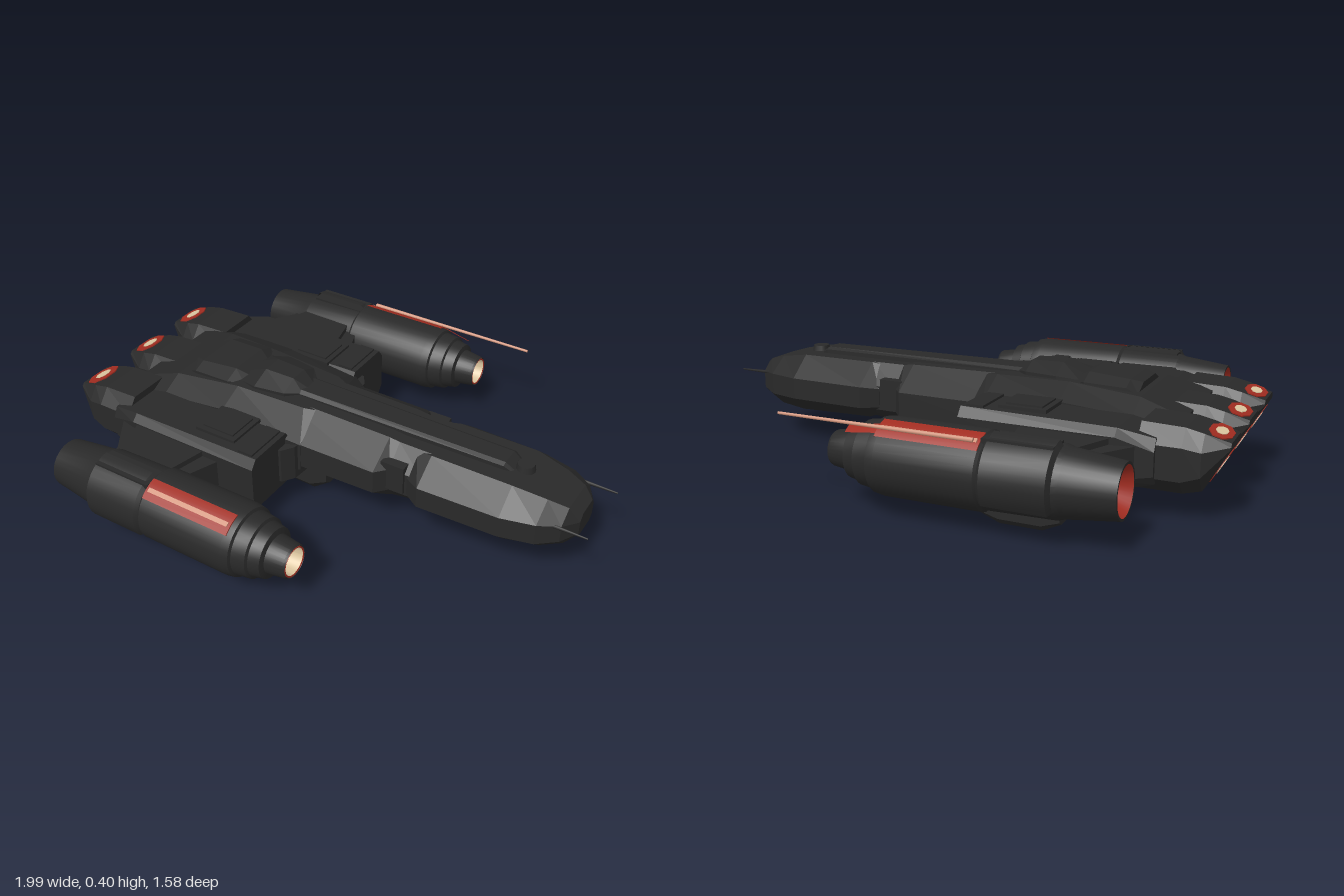
import * as THREE from 'three';
import { toCreasedNormals } from 'three/addons/utils/BufferGeometryUtils.js';

const mat = (name, color, side = THREE.DoubleSide) => {
  const m = new THREE.MeshStandardMaterial({ color, side });
  m.name = name;
  return m;
};

export function createModel() {
  const model = new THREE.Group();
  model.name = 'spaceship';
  const dark = mat('charcoal hull', 0x292929);
  const red = mat('engine red', 0xa02c20);
  const cream = mat('warm cream', 0xdcc6a0);
  const salmon = mat('salmon', 0xd0937a);

  const add = (parent, name, geo, material, x = 0, y = 0, z = 0) => {
    const m = new THREE.Mesh(geo, material);
    m.name = name;
    m.position.set(x, y, z);
    parent.add(m);
    return m;
  };
  const box = (parent, name, x0, x1, y0, y1, z0, z1) =>
    add(parent, name, new THREE.BoxGeometry(x1 - x0, y1 - y0, Math.abs(z1 - z0)), dark,
      (x0 + x1) / 2, (y0 + y1) / 2, (z0 + z1) / 2);

  // Eight-sided hull along x; section: [x, bottom, low, high, top, bottomHalf, half, topHalf]
  const hull = (parent, name, sections, z = 0) => {
    const rings = sections.map(([x, yb, yl, yh, yt, wb, w, wt]) => [
      [x, yt, -wt], [x, yt, wt], [x, yh, w], [x, yl, w],
      [x, yb, wb], [x, yb, -wb], [x, yl, -w], [x, yh, -w]]);
    const pos = [];
    const tri = (...p) => p.forEach((v) => pos.push(...v));
    for (let i = 0; i < rings.length - 1; i++) {
      for (let j = 0; j < 8; j++) {
        const k = (j + 1) % 8, a = rings[i], b = rings[i + 1];
        tri(a[j], a[k], b[k]);
        tri(a[j], b[k], b[j]);
      }
    }
    const first = rings[0], last = rings[rings.length - 1];
    for (let j = 1; j < 7; j++) {
      tri(first[0], first[j + 1], first[j]);
      tri(last[0], last[j], last[j + 1]);
    }
    const g = new THREE.BufferGeometry();
    g.setAttribute('position', new THREE.Float32BufferAttribute(pos, 3));
    g.computeVertexNormals();
    return add(parent, name, g, dark, 0, 0, z);
  };

  // Flat slab from a plan outline in x and z
  const slab = (parent, name, plan, y0, y1, s = 1) => {
    const shape = new THREE.Shape(plan.map(([x, z]) => new THREE.Vector2(x, z * s)));
    const g = new THREE.ExtrudeGeometry(shape, { depth: y1 - y0, bevelEnabled: false });
    return add(parent, name, g.rotateX(Math.PI / 2), dark, 0, y1, 0);
  };
  // Turned part along x from [x, radius] points, optionally only an arc of it
  const lathe = (parent, name, profile, material, start = 0, length = Math.PI * 2) => {
    const seg = Math.ceil((32 * length) / (Math.PI * 2));
    const g = new THREE.LatheGeometry(profile.map(([x, r]) => new THREE.Vector2(r, x)), seg, start, length);
    return add(parent, name, toCreasedNormals(g.rotateZ(-Math.PI / 2), 0.35), material);
  };

  // Fuselage: neck, notch and head
  hull(model, 'neck', [
    [-0.25, 0.12, 0.17, 0.27, 0.355, 0.15, 0.22, 0.1],
    [0.23, 0.13, 0.18, 0.27, 0.35, 0.15, 0.215, 0.1],
    [0.27, 0.13, 0.18, 0.27, 0.345, 0.13, 0.17, 0.1],
    [0.4, 0.15, 0.18, 0.27, 0.345, 0.13, 0.165, 0.1]]);
  hull(model, 'head', [
    [0.34, 0.16, 0.19, 0.26, 0.335, 0.13, 0.17, 0.1],
    [0.4, 0.14, 0.19, 0.27, 0.345, 0.14, 0.21, 0.11],
    [0.7, 0.135, 0.19, 0.27, 0.345, 0.14, 0.2, 0.11],
    [0.82, 0.14, 0.19, 0.27, 0.325, 0.11, 0.17, 0.09],
    [0.89, 0.16, 0.2, 0.265, 0.305, 0.08, 0.125, 0.07],
    [0.93, 0.19, 0.205, 0.255, 0.28, 0.04, 0.06, 0.04]]);
  hull(model, 'spine', [
    [-0.2, 0.33, 0.34, 0.36, 0.37, 0.06, 0.06, 0.045],
    [0.64, 0.33, 0.34, 0.36, 0.368, 0.05, 0.05, 0.035],
    [0.68, 0.32, 0.33, 0.335, 0.34, 0.04, 0.04, 0.03]]);
  hull(model, 'neckKeel', [
    [-0.1, 0.115, 0.125, 0.15, 0.16, 0.09, 0.12, 0.12],
    [0.32, 0.12, 0.13, 0.15, 0.16, 0.09, 0.12, 0.12],
    [0.38, 0.145, 0.15, 0.155, 0.16, 0.07, 0.1, 0.1]]);
  add(model, 'headHatch', new THREE.CylinderGeometry(0.03, 0.035, 0.025, 12), dark, 0.7, 0.352, 0);

  // Central rear body, dorsal humps and belly pod
  hull(model, 'centralBody', [
    [-0.82, 0.11, 0.15, 0.25, 0.3, 0.2, 0.3, 0.2],
    [-0.66, 0.1, 0.14, 0.3, 0.345, 0.2, 0.26, 0.17],
    [-0.4, 0.1, 0.14, 0.315, 0.362, 0.2, 0.24, 0.14],
    [-0.12, 0.11, 0.15, 0.29, 0.355, 0.16, 0.24, 0.12],
    [-0.07, 0.13, 0.16, 0.27, 0.35, 0.14, 0.22, 0.1]]);
  hull(model, 'rearHump', [
    [-0.64, 0.3, 0.31, 0.34, 0.37, 0.14, 0.13, 0.07],
    [-0.6, 0.3, 0.31, 0.36, 0.38, 0.15, 0.14, 0.09],
    [-0.45, 0.3, 0.31, 0.365, 0.39, 0.15, 0.14, 0.08],
    [-0.4, 0.3, 0.31, 0.35, 0.365, 0.1, 0.1, 0.06]]);
  hull(model, 'dorsalHump', [
    [-0.42, 0.34, 0.345, 0.36, 0.37, 0.1, 0.1, 0.04],
    [-0.34, 0.34, 0.345, 0.37, 0.403, 0.12, 0.12, 0.04],
    [-0.22, 0.34, 0.345, 0.37, 0.4, 0.1, 0.1, 0.035],
    [-0.17, 0.34, 0.345, 0.36, 0.37, 0.05, 0.05, 0.02]]);
  hull(model, 'bellyPod', [
    [-0.58, 0.07, 0.09, 0.12, 0.15, 0.08, 0.1, 0.1],
    [-0.46, 0.015, 0.05, 0.11, 0.15, 0.12, 0.15, 0.14],
    [-0.08, 0.005, 0.04, 0.11, 0.15, 0.12, 0.15, 0.14],
    [-0.02, 0.04, 0.06, 0.11, 0.15, 0.1, 0.13, 0.12]]);

  // Three tail engines, with glowing plates on the top and rear faces
  const glow = (parent, name, x, y, rot, along, across, upright) => {
    [[red, 1, 0], [cream, 0.5, 0.002]].forEach(([m, k, lift]) => {
      const g = new THREE.CylinderGeometry(1, 1, 0.005, 8).rotateY(Math.PI / 8);
      g.scale(along * k, 1, across * k);
      if (upright) g.rotateZ(Math.PI / 2);
      const p = add(parent, m === red ? name + 'Rim' : name + 'Core', g, m, x, y, 0);
      p.rotation.z = rot;
      p.translateOnAxis(upright ? new THREE.Vector3(-1, 0, 0) : new THREE.Vector3(0, 1, 0), lift);
    });
  };
  for (const z of [-0.275, 0, 0.275]) {
    const engine = new THREE.Group();
    engine.name = 'tailEngine';
    engine.position.z = z;
    model.add(engine);
    hull(engine, 'engineHousing', [
      [-1, 0.255, 0.26, 0.267, 0.278, 0.06, 0.075, 0.065],
      [-0.92, 0.115, 0.17, 0.25, 0.302, 0.075, 0.118, 0.08],
      [-0.86, 0.1, 0.15, 0.26, 0.315, 0.08, 0.125, 0.08],
      [-0.72, 0.1, 0.15, 0.26, 0.32, 0.08, 0.125, 0.08]]);
    glow(engine, 'topVent', -0.955, 0.293, 0.29, 0.041, 0.073, false);
    glow(engine, 'rearNozzle', -0.961, 0.187, 0.519, 0.068, 0.068, true);
  }

  for (const s of [1, -1]) {
    // Shoulder block beside the body, with raised panels
    hull(model, 'shoulder', [
      [-0.78, 0.13, 0.16, 0.24, 0.28, 0.07, 0.09, 0.07],
      [-0.66, 0.1, 0.14, 0.28, 0.305, 0.085, 0.115, 0.09],
      [-0.12, 0.1, 0.14, 0.28, 0.313, 0.085, 0.115, 0.09]], s * 0.325);
    box(model, 'shoulderPanel', -0.41, -0.24, 0.3, 0.321, s * 0.22, s * 0.38);
    box(model, 'panelLid', -0.39, -0.26, 0.31, 0.327, s * 0.24, s * 0.36);
    box(model, 'shoulderRib', -0.2, -0.14, 0.3, 0.32, s * 0.24, s * 0.41);
    box(model, 'shoulderUnderside', -0.6, -0.2, 0.09, 0.12, s * 0.2, s * 0.38);
    slab(model, 'shoulderStep', [[-0.15, 0.1], [-0.07, 0.1], [-0.08, 0.24], [-0.11, 0.285], [-0.15, 0.285]], 0.13, 0.27, s);
    box(model, 'neckFrame', 0.24, 0.33, 0.19, 0.3, s * 0.12, s * 0.178);

    // Pylon out to the nacelle
    slab(model, 'pylon', [[-0.74, 0.4], [-0.26, 0.4], [-0.32, 0.56], [-0.32, 0.62], [-0.62, 0.62], [-0.63, 0.56]], 0.15, 0.255, s);
    slab(model, 'pylonCap', [[-0.66, 0.4], [-0.33, 0.4], [-0.37, 0.58], [-0.58, 0.58]], 0.135, 0.275, s);

    // Nacelle with open rear, hollow front intake and saddle
    const nacelle = new THREE.Group();
    nacelle.name = s > 0 ? 'leftNacelle' : 'rightNacelle';
    nacelle.position.set(0, 0.195, s * 0.66);
    model.add(nacelle);
    // Arc between two angles, measured from the outer side towards the top
    const arc = (name, profile, a0, a1, m) =>
      lathe(nacelle, name, profile, m, s > 0 ? -a1 : a0 - Math.PI, a1 - a0);
    lathe(nacelle, 'nacelleShell', [[-0.77, 0.08], [-0.77, 0.088], [-0.6, 0.108], [-0.58, 0.115],
      [-0.35, 0.12], [-0.34, 0.128], [0, 0.129], [0.03, 0.124], [0.035, 0.114], [0.085, 0.108],
      [0.09, 0.098], [0.13, 0.09], [0.135, 0.07], [0.2, 0.061], [0.208, 0.057], [0.2, 0.054]], dark);
    lathe(nacelle, 'rearNozzle', [[-0.769, 0.082], [-0.71, 0.052], [-0.71, 0]], red);
    lathe(nacelle, 'rearCore', [[-0.716, 0], [-0.716, 0.042], [-0.71, 0.042]], cream);
    lathe(nacelle, 'intakeRim', [[0.2, 0.0545], [0.208, 0.054], [0.206, 0.049]], red);
    lathe(nacelle, 'intakeCup', [[0.206, 0.05], [0.15, 0.045], [0.14, 0.03], [0.14, 0]], cream);
    arc('saddleBand', [[-0.59, 0.1], [-0.57, 0.132], [-0.36, 0.132], [-0.34, 0.115]], -0.6, 1.5, dark);
    box(nacelle, 'saddleTop', -0.57, -0.34, 0.06, 0.122, s * -0.02, s * 0.065);
    hull(nacelle, 'saddleBottom', [
      [-0.58, -0.13, -0.12, -0.1, -0.06, 0.035, 0.05, 0.06],
      [-0.52, -0.158, -0.14, -0.1, -0.06, 0.035, 0.05, 0.06],
      [-0.38, -0.158, -0.14, -0.1, -0.06, 0.035, 0.05, 0.06],
      [-0.3, -0.13, -0.12, -0.1, -0.06, 0.03, 0.045, 0.06]], s * -0.02);

    // Red stripe with a light bar, set on the upper outer side
    arc('redStripe', [[-0.34, 0.12], [-0.34, 0.1315], [0.01, 0.1315], [0.01, 0.12]], 0.76, 1.36, red);
    arc('lightBar', [[-0.33, 0.13], [-0.33, 0.135], [0, 0.135], [0, 0.13]], 0.96, 1.08, salmon);

    // Nose antenna
    const antenna = new THREE.CylinderGeometry(0.003, 0.007, 0.14, 6).rotateZ(-Math.PI / 2);
    add(model, 'noseAntenna', antenna, dark, 0.915, 0.265, s * 0.135);

    // Long lance and red stripe tail, on the right nacelle only
    if (s < 0) {
      arc('stripeTail', [[0.01, 0.13], [0.03, 0.127], [0.085, 0.116], [0.13, 0.108]], 0.85, 1.15, red);
      const lance = new THREE.CylinderGeometry(0.005, 0.008, 0.7, 8).rotateZ(-Math.PI / 2);
      add(nacelle, 'lance', lance, salmon, 0.03, 0.115, -0.074);
    }
  }
  return model;
}
